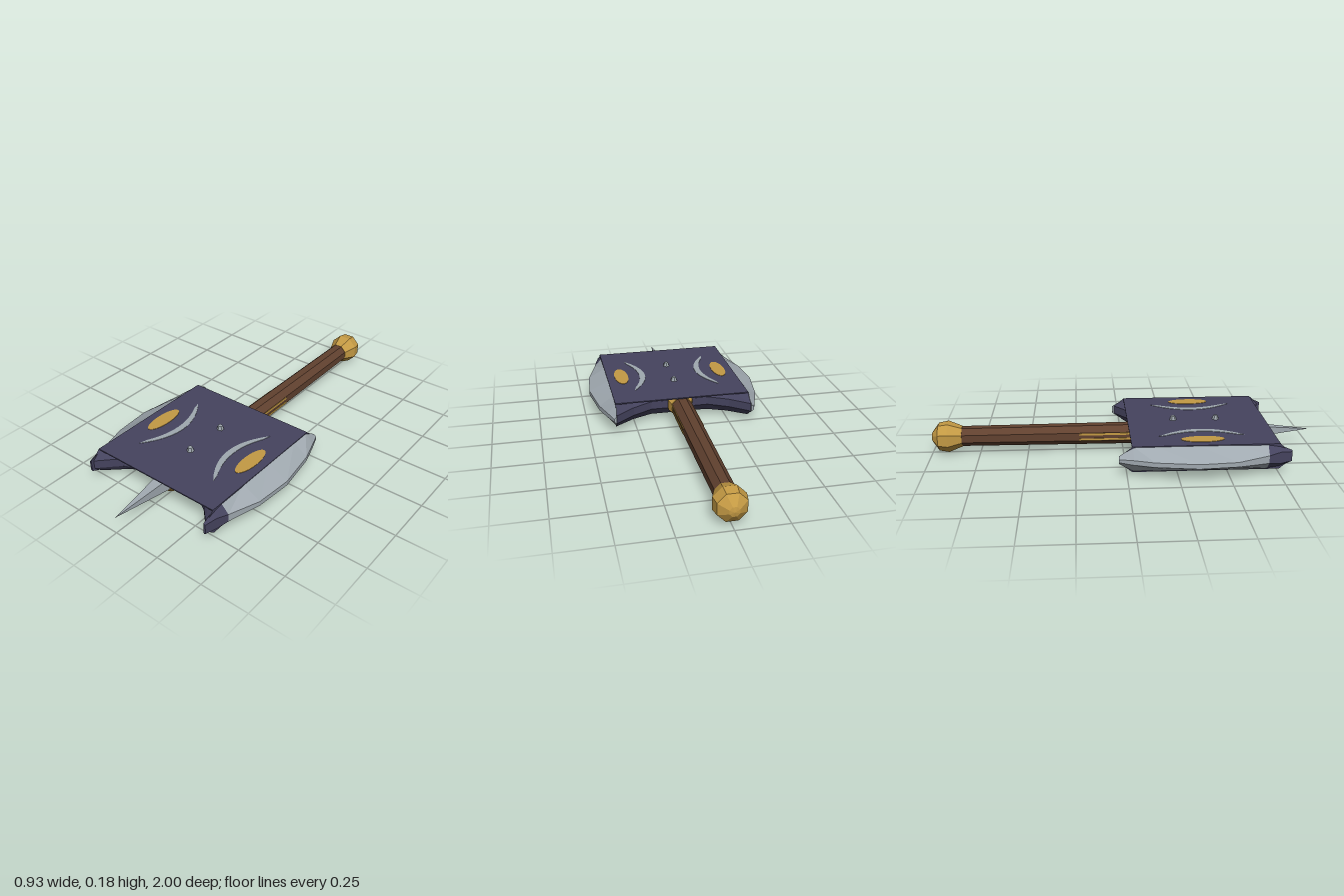
import * as THREE from 'three';

const mat = (name, color) => {
  const m = new THREE.MeshStandardMaterial({ color });
  m.name = name;
  return m;
};

// faceted normals
function facet(geo) {
  const g = geo.index ? geo.toNonIndexed() : geo;
  g.computeVertexNormals();
  return g;
}

// closed solid through a row of convex cross-sections, faces always turned outward
function loft(sections) {
  const tris = [], n = sections[0].length;
  for (let i = 0; i < sections.length - 1; i++) {
    const a = sections[i], b = sections[i + 1];
    for (let j = 0; j < n; j++) {
      const k = (j + 1) % n;
      tris.push([a[j], b[j], b[k]], [a[j], b[k], a[k]]);
    }
  }
  const first = sections[0], last = sections[sections.length - 1];
  for (let j = 1; j < n - 1; j++) {
    tris.push([first[0], first[j], first[j + 1]], [last[0], last[j + 1], last[j]]);
  }
  let volume = 0;
  for (const t of tris) {
    const [p, q, r] = t.map(v => new THREE.Vector3(...v));
    volume += p.dot(q.cross(r));
  }
  if (volume < 0) tris.forEach(t => t.reverse());
  const g = new THREE.BufferGeometry();
  g.setAttribute('position', new THREE.Float32BufferAttribute(tris.flat(2), 3));
  return facet(g);
}

export function createModel() {
  const iron = mat('dark iron', 0x45435e);
  const steel = mat('steel', 0xa0a9b0);
  const gold = mat('gold', 0xc49a44);
  const wood = mat('brown wood', 0x61412f);

  const group = new THREE.Group();
  group.name = 'battleAxe';
  const add = (name, geo, material, x = 0, y = 0, z = 0) => {
    const m = new THREE.Mesh(geo, material);
    m.name = name;
    m.position.set(x, y, z);
    group.add(m);
    return m;
  };
  // eight-sided turned part along z; profile points are [radius, z]
  const turned = profile => {
    const g = new THREE.LatheGeometry(profile.map(p => new THREE.Vector2(...p)), 8, Math.PI / 8);
    return facet(g.rotateX(Math.PI / 2));
  };
  const H = 0.066; // half thickness of the head

  // head body: concave front and back, walls bulging at mid height
  // station: [x, back rim, back bulge, front bulge, front rim]
  const half = [[0.155, 0.14, 0.105, 0.635, 0.6], [0.26, 0.095, 0.05, 0.7, 0.66], [0.36, 0.025, -0.03, 0.8, 0.75]];
  const stations = [...half.map(([x, ...r]) => [-x, ...r]).reverse(), ...half];
  add('headBody', loft(stations.map(([x, b, bm, fm, f]) => [
    [x, H, b], [x, H, f], [x, 0.022, fm], [x, -0.022, fm],
    [x, -H, f], [x, -H, b], [x, -0.022, bm], [x, -0.022 + 0.044, bm],
  ])), iron);

  // straight-edged cover on top of the head
  add('topCover', new THREE.BoxGeometry(0.72, 0.006, 0.727), iron, 0, H - 0.002, 0.3865);

  // blades: [z, inner x, edge x, inner half height, edge half height]
  const blade = [
    [-0.04, 0.362, 0.375, 0.02, 0.008], [0.03, 0.355, 0.4, H, 0.012], [0.13, 0.355, 0.433, H, 0.012],
    [0.34, 0.355, 0.465, H, 0.012], [0.53, 0.355, 0.45, H, 0.012], [0.69, 0.355, 0.398, H, 0.02],
  ];
  const horn = [blade[5], [0.75, 0.355, 0.38, H * 0.85, 0.03], [0.81, 0.355, 0.365, 0.03, 0.025]];
  const bladeGeo = (rows, s) => loft(rows.map(([z, xi, xe, hi, he]) =>
    [[s * xi, hi, z], [s * xe, he, z], [s * xe, -he, z], [s * xi, -hi, z]]));

  for (const [side, s] of [['left', 1], ['right', -1]]) {
    add(side + 'Blade', bladeGeo(blade, s), steel);
    add(side + 'Horn', bladeGeo(horn, s), iron);

    // thin inlays on both faces of the head
    const oval = new THREE.Shape();
    oval.absellipse(s * 0.28, 0.38, 0.038, 0.108, 0, Math.PI * 2);
    const crescent = new THREE.Shape();
    crescent.moveTo(s * 0.235, 0.165);
    crescent.quadraticCurveTo(s * 0.055, 0.383, s * 0.235, 0.6);
    crescent.lineTo(s * 0.225, 0.56);
    crescent.quadraticCurveTo(s * 0.13, 0.383, s * 0.225, 0.205);
    for (const [face, y] of [['Top', H + 0.003], ['Bottom', -H + 0.002]]) {
      for (const [name, shape, m] of [['Oval', oval, gold], ['Crescent', crescent, steel]]) {
        const g = new THREE.ExtrudeGeometry(shape, { depth: 0.005, bevelEnabled: false, curveSegments: 12 });
        add(side + face + name, g.rotateX(Math.PI / 2), m, 0, y, 0);
      }
    }

    // gold strips along the handle
    for (const y of [-0.014, 0.014]) {
      add(side + 'HandleStrip', new THREE.BoxGeometry(0.009, 0.011, 0.33), gold, s * 0.05, y, -0.065);
    }
  }

  // rivets through the head
  for (const z of [0.265, 0.49]) {
    for (const s of [1, -1]) {
      const g = new THREE.CylinderGeometry(0.012, 0.019, 0.024, 6);
      if (s < 0) g.rotateX(Math.PI);
      add('rivet', facet(g), steel, 0, s * 0.076, z);
    }
  }

  // handle, collars and pommel
  add('handle', turned([[0, -0.86], [0.052, -0.86], [0.057, 0.1], [0.057, 0.6], [0, 0.6]].reverse()
    .map(([r, z]) => [r, z]).reverse()), wood);
  add('backCollar', turned([[0, 0.05], [0.06, 0.05], [0.07, 0.085], [0.07, 0.16], [0, 0.16]]), gold);
  add('frontCollar', turned([[0, 0.58], [0.07, 0.58], [0.07, 0.65], [0.052, 0.68], [0, 0.68]]), gold);
  add('pommel', turned([[0, -1], [0.025, -0.995], [0.073, -0.96], [0.082, -0.91], [0.054, -0.84], [0, -0.84]]), gold);

  // four-sided front spike
  const spike = new THREE.ConeGeometry(0.05, 0.35, 4).rotateY(Math.PI / 4).rotateX(Math.PI / 2);
  add('frontSpike', facet(spike), steel, 0, 0, 0.822);

  group.position.y = 0.088;
  const model = new THREE.Group();
  model.name = 'axe';
  model.add(group);
  return model;
}
